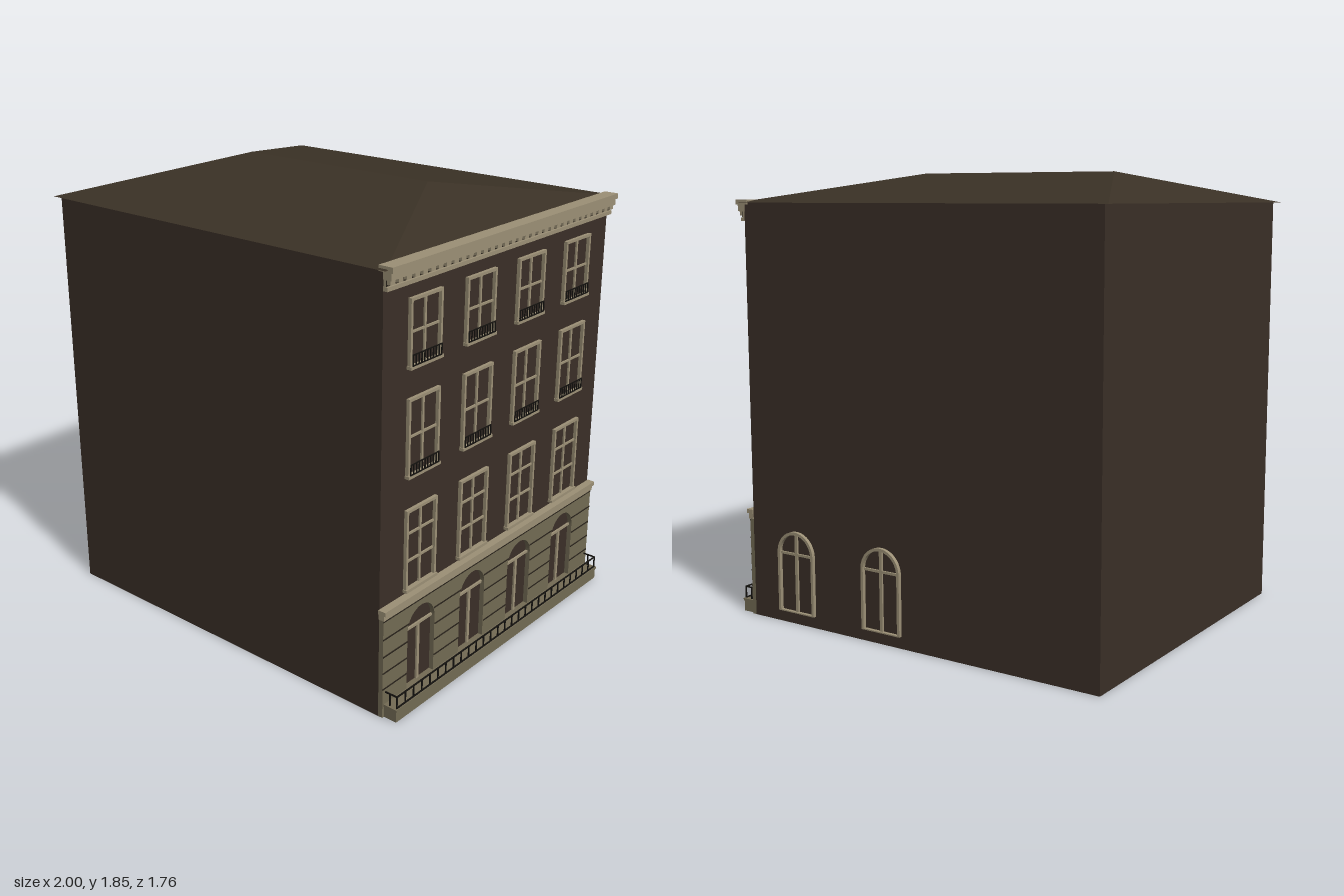
import * as THREE from 'three';
import { mergeGeometries } from 'three/addons/utils/BufferGeometryUtils.js';
import { ConvexGeometry } from 'three/addons/geometries/ConvexGeometry.js';

const paint = (name, color) => {
  const m = new THREE.MeshStandardMaterial({ color });
  m.name = name;
  return m;
};

export function createModel() {
  const wallMat = paint('dark brown wall', 0x3a2f27);
  const roofMat = paint('dark olive roof', 0x3a3125);
  const trimMat = paint('beige trim', 0x9c9076);
  const stoneMat = paint('ground floor stone', 0x736b54);
  const grooveMat = paint('dark joint', 0x2a241c);
  const ironMat = paint('black iron', 0x14120f);

  const HU = 0.837, HW = 0.73, EAVE = 1.73; // half depth, half facade width, wall height
  const COLS = [-0.5, -0.167, 0.167, 0.5];
  const R = 0.084, SPRING = 0.298, BASE = 0.055; // arched openings

  const add = (parent, name, geo, mat) => {
    const mesh = new THREE.Mesh(geo, mat);
    mesh.name = name;
    parent.add(mesh);
    return mesh;
  };
  // One mesh from boxes given as [x0, x1, y0, y1, z0, z1]
  const boxes = (parent, name, mat, list) => add(parent, name, mergeGeometries(
    list.map(([x0, x1, y0, y1, z0, z1]) => new THREE.BoxGeometry(x1 - x0, y1 - y0, z1 - z0)
      .translate((x0 + x1) / 2, (y0 + y1) / 2, (z0 + z1) / 2))), mat);
  const subGroup = (parent, name) => {
    const g = new THREE.Group();
    g.name = name;
    parent.add(g);
    return g;
  };
  // Round-headed outline
  const arch = (path, cx, r, y0) => {
    path.moveTo(cx - r, y0);
    path.lineTo(cx + r, y0);
    path.lineTo(cx + r, SPRING);
    path.absarc(cx, SPRING, r, 0, Math.PI, false);
    path.lineTo(cx - r, y0);
    return path;
  };
  const extrude = (shape, depth) => new THREE.ExtrudeGeometry(shape, { depth, bevelEnabled: false, curveSegments: 16 });
  // Iron railing: rails and evenly spaced bars
  const railing = (parent, name, x0, x1, y0, y1, z, count, t) => {
    const list = [[x0, x1, y1 - t, y1, z - t, z], [x0, x1, y0, y0 + t, z - t, z]];
    for (let i = 0; i <= count; i++) {
      const x = x0 + (x1 - x0 - t) * i / count;
      list.push([x, x + t, y0, y1, z - t, z]);
    }
    boxes(parent, name, ironMat, list);
  };

  const root = new THREE.Group();
  root.name = 'townhouse';
  const house = subGroup(root, 'house');
  house.position.set(-0.0275, 0, -0.005);
  house.rotation.y = 0.164;

  // Walls and hipped roof
  boxes(house, 'walls', wallMat, [[-HU, HU, 0, EAVE, -HW, HW]]);
  const roofPoints = [new THREE.Vector3(-0.466, 1.853, 0), new THREE.Vector3(0.466, 1.853, 0)];
  for (const sx of [-1, 1]) for (const sz of [-1, 1]) roofPoints.push(new THREE.Vector3(sx * 0.861, EAVE, sz * 0.75));
  add(house, 'roof', new ConvexGeometry(roofPoints), roofMat);

  // Decorated facade, built facing +z and turned to the +x side
  const facade = subGroup(house, 'facade');
  facade.position.x = HU;
  facade.rotation.y = Math.PI / 2;

  // Cornice with dentils
  boxes(facade, 'cornice', trimMat, [
    [-0.735, 0.735, 1.722, 1.743, -0.017, 0.043],
    [-0.732, 0.732, 1.695, 1.722, 0, 0.035],
    [-HW, HW, 1.67, 1.695, 0, 0.012],
    [-0.732, 0.732, 1.655, 1.67, 0, 0.02],
  ]);
  boxes(facade, 'dentilShadow', grooveMat, [[-HW, HW, 1.672, 1.694, 0.012, 0.014]]);
  const dentils = [];
  for (let i = 0; i < 33; i++) {
    const x = -0.728 + i * 0.0447;
    dentils.push([x, x + 0.026, 1.678, 1.696, 0.012, 0.028]);
  }
  boxes(facade, 'dentils', trimMat, dentils);

  // Rusticated ground floor with arched openings
  const stone = new THREE.Shape([[-HW, 0], [HW, 0], [HW, 0.415], [-HW, 0.415]].map(p => new THREE.Vector2(...p)));
  COLS.forEach(x => stone.holes.push(arch(new THREE.Path(), x, R, 0.02)));
  add(facade, 'groundFloorStone', extrude(stone, 0.02), stoneMat);
  const joints = [[-HW, HW, 0.406, 0.412, 0.02, 0.0215]];
  for (const y of [0.122, 0.19, 0.26, 0.333]) {
    const half = Math.sqrt(R * R - Math.max(0, y - SPRING) ** 2) + 0.002;
    const edges = [-HW, ...COLS.flatMap(x => [x - half, x + half]), HW];
    for (let i = 0; i < edges.length; i += 2) joints.push([edges[i], edges[i + 1], y - 0.003, y + 0.003, 0.019, 0.0215]);
  }
  boxes(facade, 'stoneJoints', grooveMat, joints);
  boxes(facade, 'beltCourse', trimMat, [
    [-0.733, 0.733, 0.415, 0.438, 0, 0.025],
    [-0.736, 0.736, 0.438, 0.455, 0, 0.033],
  ]);

  // Mullion and transom of an arched opening
  const archBars = (parent, x, top) => boxes(parent, 'archGlazingBars', trimMat, [
    [x - 0.007, x + 0.007, BASE, top, 0, 0.008],
    [x - R, x + R, SPRING - 0.005, SPRING + 0.005, 0, 0.008],
  ]);
  COLS.forEach(x => archBars(facade, x, SPRING));

  // Front plinth and its railing
  boxes(facade, 'plinth', stoneMat, [[-0.72, 0.72, 0, 0.045, 0, 0.078], [-0.723, 0.723, 0.045, 0.055, 0, 0.081]]);
  railing(facade, 'plinthRailing', -0.715, 0.715, 0.055, 0.108, 0.077, 28, 0.005);
  for (const x of [-0.715, 0.71]) boxes(facade, 'railingReturn', ironMat, [
    [x, x + 0.005, 0.103, 0.108, 0.02, 0.077],
    [x, x + 0.005, 0.055, 0.103, 0.04, 0.045],
  ]);

  // Three rows of framed windows
  const rows = [
    { y0: 0.475, y1: 0.8, bars: [0.588, 0.7], rail: false },
    { y0: 0.935, y1: 1.232, bars: [1.083], rail: true },
    { y0: 1.35, y1: 1.6, bars: [1.475], rail: true },
  ];
  for (const { y0, y1, bars, rail } of rows) for (const x of COLS) {
    const w = subGroup(facade, 'window');
    w.position.x = x;
    const h = 0.092, t = 0.011;
    boxes(w, 'windowFrame', trimMat, [
      [-h, -h + t, y0, y1, 0, 0.014],
      [h - t, h, y0, y1, 0, 0.014],
      [-h, h, y1 - t, y1, 0, 0.014],
      [-h - 0.003, h + 0.003, y0 - 0.008, y0 + 0.004, 0, 0.02],
    ]);
    boxes(w, 'glazingBars', trimMat, [
      [-0.005, 0.005, y0, y1 - t, 0, 0.007],
      ...bars.map(y => [-h + t, h - t, y - 0.004, y + 0.004, 0, 0.007]),
    ]);
    if (rail) railing(w, 'windowRailing', -0.085, 0.085, y0 + 0.004, y0 + 0.048, 0.021, 10, 0.004);
  }

  // Two arched windows on the back wall
  const back = subGroup(house, 'backWindows');
  back.position.z = -HW;
  back.rotation.y = Math.PI;
  for (const u of [0.15, 0.595]) {
    const frame = arch(new THREE.Shape(), -u, R + 0.012, BASE - 0.005);
    frame.holes.push(arch(new THREE.Path(), -u, R, BASE));
    add(back, 'archFrame', extrude(frame, 0.015), trimMat);
    archBars(back, -u, SPRING + R);
  }
  return root;
}
